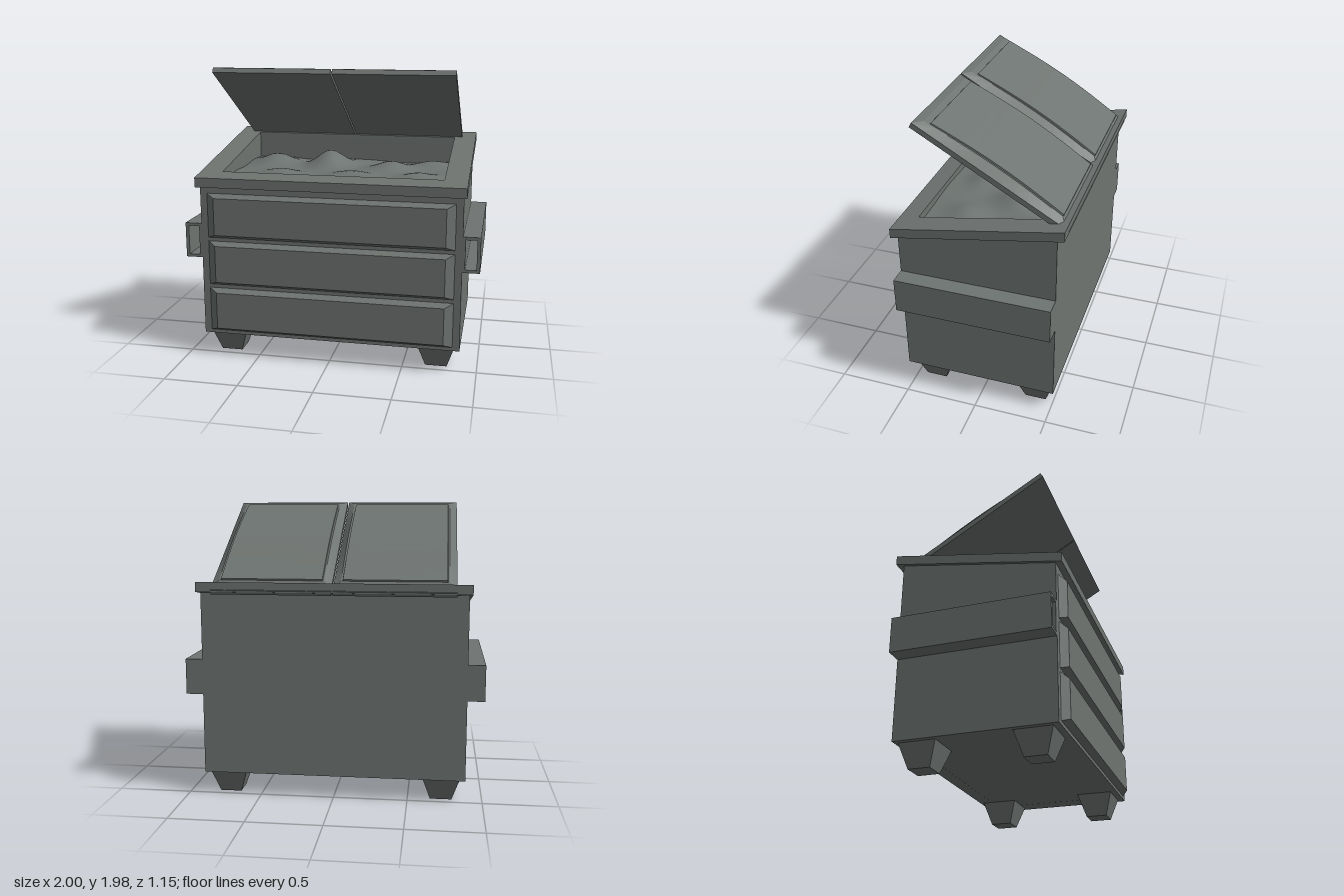
import * as THREE from 'three';

const steel = new THREE.MeshStandardMaterial({ color: 0x6e7471 });
steel.name = 'greyGreenSteel';

const SLOPE = 0.1754; // the top rises towards the back
const OPENING = { x: 0.75, front: 0.44, back: -0.43 };
const topAt = (z) => 1.2 + (0.575 - z) * SLOPE;

function add(parent, name, geometry, x = 0, y = 0, z = 0) {
  const mesh = new THREE.Mesh(geometry, steel);
  mesh.name = name;
  mesh.position.set(x, y, z);
  parent.add(mesh);
  return mesh;
}

// Moves every vertex by a rule, then gives flat faces
function reshape(geometry, rule) {
  const g = geometry.index ? geometry.toNonIndexed() : geometry;
  const p = g.attributes.position;
  const v = new THREE.Vector3();
  for (let i = 0; i < p.count; i++) {
    rule(v.fromBufferAttribute(p, i));
    p.setXYZ(i, v.x, v.y, v.z);
  }
  g.computeVertexNormals();
  return g;
}

function rectangle(Type, x0, x1, y0, y1) {
  return new Type([[x0, y0], [x1, y0], [x1, y1], [x0, y1]].map(([x, y]) => new THREE.Vector2(x, y)));
}

// Upright rectangular frame around the opening, from y = 0 to height
function frame(x, front, back, height) {
  const shape = rectangle(THREE.Shape, -x, x, -front, -back);
  shape.holes.push(rectangle(THREE.Path, -OPENING.x, OPENING.x, -OPENING.front, -OPENING.back));
  return new THREE.ExtrudeGeometry(shape, { depth: height, bevelEnabled: false }).rotateX(-Math.PI / 2);
}

// Box on y = 0 whose top is inset and bowed along z
function raisedPlate(width, length, height, inset, bow, baseBow = 0) {
  const g = new THREE.BoxGeometry(width, 1, length, 1, 1, 12);
  return reshape(g, (v) => {
    const curve = Math.cos((Math.PI * v.z) / length);
    if (v.y > 0) {
      v.x *= (width - 2 * inset) / width;
      v.z *= (length - 2 * inset) / length;
      v.y = height + bow * curve;
    } else v.y = baseBow * curve;
  });
}

function lidHalf(side) {
  const lid = new THREE.Group();
  lid.name = side > 0 ? 'leftLid' : 'rightLid';
  const x = side * 0.405;
  add(lid, 'lidSlab', new THREE.BoxGeometry(0.8, 0.035, 1.14), x, 0.0175, 0.57);
  add(lid, 'lidBevel', raisedPlate(0.8, 1.11, 0.026, 0.05, 0.025), x, 0.035, 0.585);
  add(lid, 'lidPanel', raisedPlate(0.68, 0.97, 0.01, 0.003, 0.025, 0.02), x, 0.061, 0.565);
  return lid;
}

// Mounds of rubbish: x, z, height, spread in x, spread in z
const MOUNDS = [
  [-0.55, -0.22, 0.07, 0.14, 0.14], [-0.13, -0.15, 0.12, 0.13, 0.17],
  [0.33, -0.1, 0.055, 0.13, 0.15], [-0.4, 0.2, 0.035, 0.14, 0.1],
  [0.1, 0.22, 0.04, 0.16, 0.1], [0.55, 0.18, 0.035, 0.12, 0.12],
  [0.6, -0.3, 0.03, 0.12, 0.1],
];

function rubbishSurface() {
  const { x, front, back } = OPENING;
  const g = new THREE.PlaneGeometry(2 * x, front - back, 48, 28).rotateX(-Math.PI / 2);
  g.translate(0, 0, (front + back) / 2);
  const p = g.attributes.position;
  for (let i = 0; i < p.count; i++) {
    const px = p.getX(i), pz = p.getZ(i);
    let y = 1.245 + 0.008 * Math.sin(9 * px + 5 * pz) * Math.cos(8 * pz);
    for (const [mx, mz, h, sx, sz] of MOUNDS) {
      y += h * Math.exp(-(((px - mx) / sx) ** 2) - ((pz - mz) / sz) ** 2);
    }
    p.setY(i, y);
  }
  g.computeVertexNormals();
  return g;
}

export function createModel() {
  const model = new THREE.Group();
  model.name = 'wasteContainer';

  // Hollow body with a sloping top edge, and its floor
  add(model, 'body', reshape(frame(0.885, 0.53, -0.52, 1), (v) => {
    v.y = v.y > 0.5 ? topAt(v.z) + 0.01 : 0.155;
  }));
  add(model, 'floor', new THREE.BoxGeometry(1.7, 0.04, 0.98), 0, 0.1755, 0.005);

  // Sloping rim
  add(model, 'rim', reshape(frame(0.905, 0.575, -0.568, 0.065), (v) => { v.y += topAt(v.z); }));

  add(model, 'rubbish', rubbishSurface());

  // Bevelled front panels
  for (let i = 0; i < 3; i++) {
    const g = reshape(new THREE.BoxGeometry(1.68, 0.31, 0.045), (v) => {
      if (v.z > 0) {
        v.x *= 0.78 / 0.84;
        v.y *= 0.256 / 0.31;
      }
    });
    add(model, 'frontPanel', g, 0, 0.333 + i * 0.333, 0.5505);
  }

  for (const side of [-1, 1]) {
    // Fork pocket: open at the front, closed at the back
    const pocket = new THREE.Group();
    pocket.name = side > 0 ? 'leftForkPocket' : 'rightForkPocket';
    const outline = rectangle(THREE.Shape, -0.06, 0.06, -0.12, 0.12);
    outline.holes.push(rectangle(THREE.Path, -0.037, 0.037, -0.1, 0.1));
    const sleeve = new THREE.ExtrudeGeometry(outline, { depth: 1.03, bevelEnabled: false });
    add(pocket, 'pocketSleeve', sleeve, 0, 0, -0.5);
    add(pocket, 'pocketBack', new THREE.BoxGeometry(0.12, 0.24, 0.02), 0, 0, -0.51);
    pocket.position.set(side * 0.94, 0.82, 0);
    model.add(pocket);

    // Tapered feet
    for (const z of [0.363, -0.373]) {
      const g = reshape(new THREE.BoxGeometry(0.25, 0.16, 0.25), (v) => {
        if (v.y < 0) {
          v.x *= 0.58;
          v.z *= 0.58;
        }
      });
      add(model, 'foot', g, side * 0.725, 0.08, z);
    }
  }

  // Pair of open lids hinged at the back
  const lids = new THREE.Group();
  lids.name = 'lids';
  lids.add(lidHalf(-1), lidHalf(1));
  lids.position.set(0, 1.383, -0.555);
  lids.rotation.x = -Math.PI / 6;
  model.add(lids);

  return model;
}
